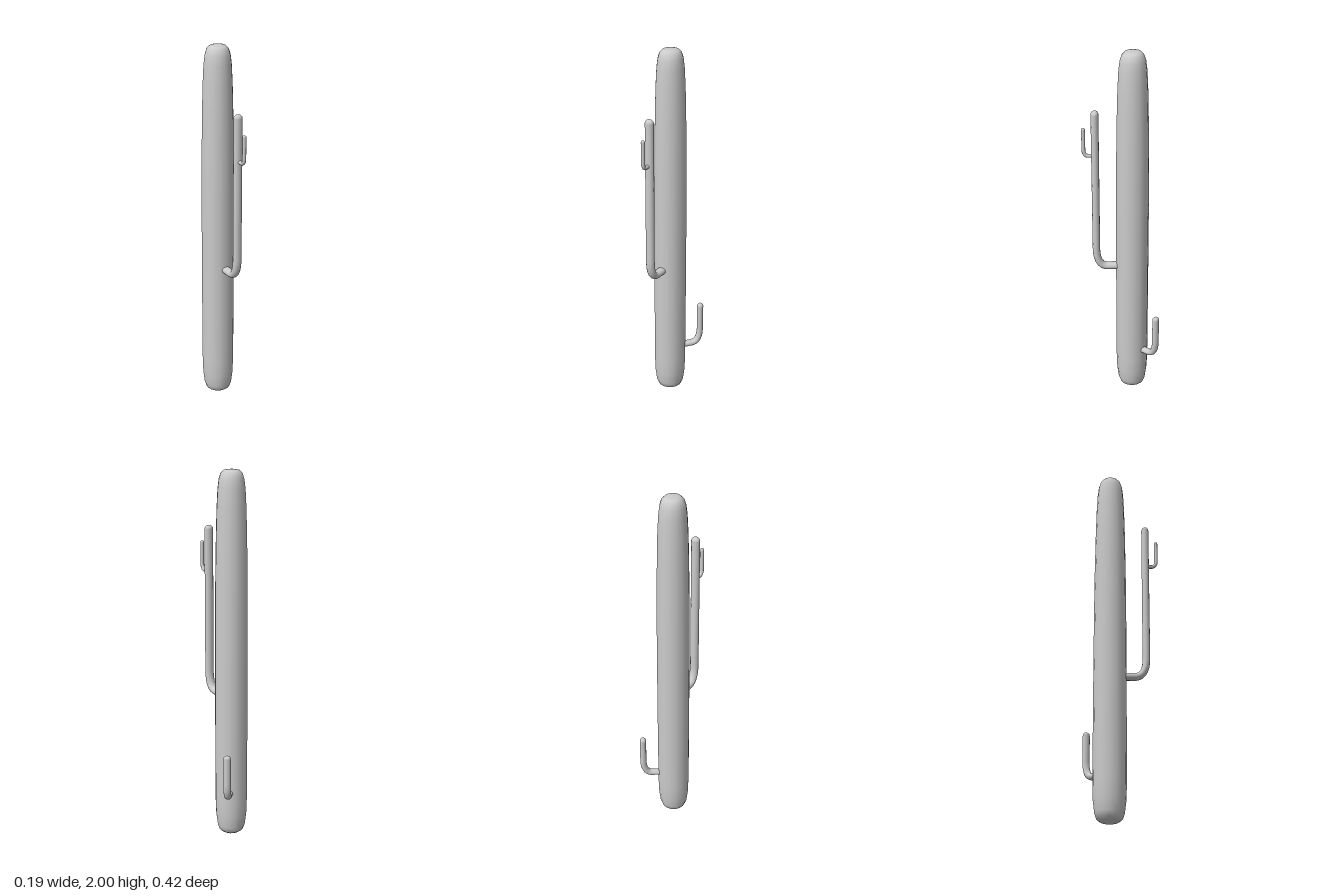
import * as THREE from 'three';
import { mergeGeometries } from 'three/addons/utils/BufferGeometryUtils.js';

const material = new THREE.MeshStandardMaterial({ color: 0xcccccc });
const CENTRE = [-0.012, -0.033]; // trunk axis in x, z

function addMesh(parent, geometry, name) {
  const mesh = new THREE.Mesh(geometry, material);
  mesh.name = name;
  parent.add(mesh);
  return mesh;
}

// Upturned arm: horizontal stub, rounded elbow, upright with a domed tip.
// Built in the local x/y plane, then turned to point outward from the trunk.
function addArm(parent, name, { start, reach, base, rise, tip, radius, bend, height, width, angle }) {
  const v = (x, y) => new THREE.Vector3(x, y, 0);
  const end = tip - radius;
  const path = new THREE.CurvePath();
  path.add(new THREE.LineCurve3(v(start, base), v(reach - bend, base + rise)));
  path.add(new THREE.CubicBezierCurve3(
    v(reach - bend, base + rise), v(reach - bend * 0.4, base + rise),
    v(reach, base + height * 0.3), v(reach, base + height)));
  path.add(new THREE.LineCurve3(v(reach, base + height), v(reach, end)));

  const tube = new THREE.TubeGeometry(path, 64, radius, 12, false);
  const dome = new THREE.SphereGeometry(radius, 12, 6, 0, Math.PI * 2, 0, Math.PI / 2);
  dome.translate(reach, end, 0);
  const stubCap = new THREE.SphereGeometry(radius, 12, 6, 0, Math.PI * 2, 0, Math.PI / 2);
  stubCap.scale(1, 0.4, 1).rotateZ(Math.PI / 2).translate(start, base, 0);

  const geometry = mergeGeometries([tube, dome, stubCap]);
  geometry.scale(1, 1, width);
  const arm = addMesh(parent, geometry, name);
  arm.position.set(CENTRE[0], 0, CENTRE[1]);
  arm.rotation.y = -angle;
}

export function createModel() {
  const group = new THREE.Group();
  group.name = 'cactus';

  // Trunk: tapering column with rounded ends
  const profile = [
    [0, 0], [0.048, 0.003], [0.066, 0.016], [0.076, 0.045], [0.084, 0.11],
    [0.087, 0.2], [0.0875, 0.6], [0.087, 1.1], [0.085, 1.4], [0.081, 1.65],
    [0.077, 1.8], [0.072, 1.9], [0.066, 1.95], [0.057, 1.98], [0.043, 1.995],
    [0.025, 1.999], [0, 2]
  ].map(([r, y]) => new THREE.Vector2(r, y));
  const trunk = addMesh(group, new THREE.LatheGeometry(profile, 16), 'trunk');
  trunk.position.set(CENTRE[0], 0, CENTRE[1]);

  // Arms
  const front = Math.atan2(0.177, 0.074);
  const back = Math.atan2(-0.16, 0.067);
  addArm(group, 'frontArm', {
    start: 0.075, reach: 0.193, base: 0.783, rise: 0, tip: 1.69,
    radius: 0.02, bend: 0.06, height: 0.11, width: 1.2, angle: front
  });
  addArm(group, 'frontArmOffshoot', {
    start: 0.205, reach: 0.252, base: 1.442, rise: 0, tip: 1.598,
    radius: 0.0098, bend: 0.025, height: 0.035, width: 1.05, angle: front
  });
  addArm(group, 'backArm', {
    start: 0.08, reach: 0.172, base: 0.258, rise: 0.004, tip: 0.515,
    radius: 0.0175, bend: 0.055, height: 0.1, width: 1.15, angle: back
  });

  return group;
}
